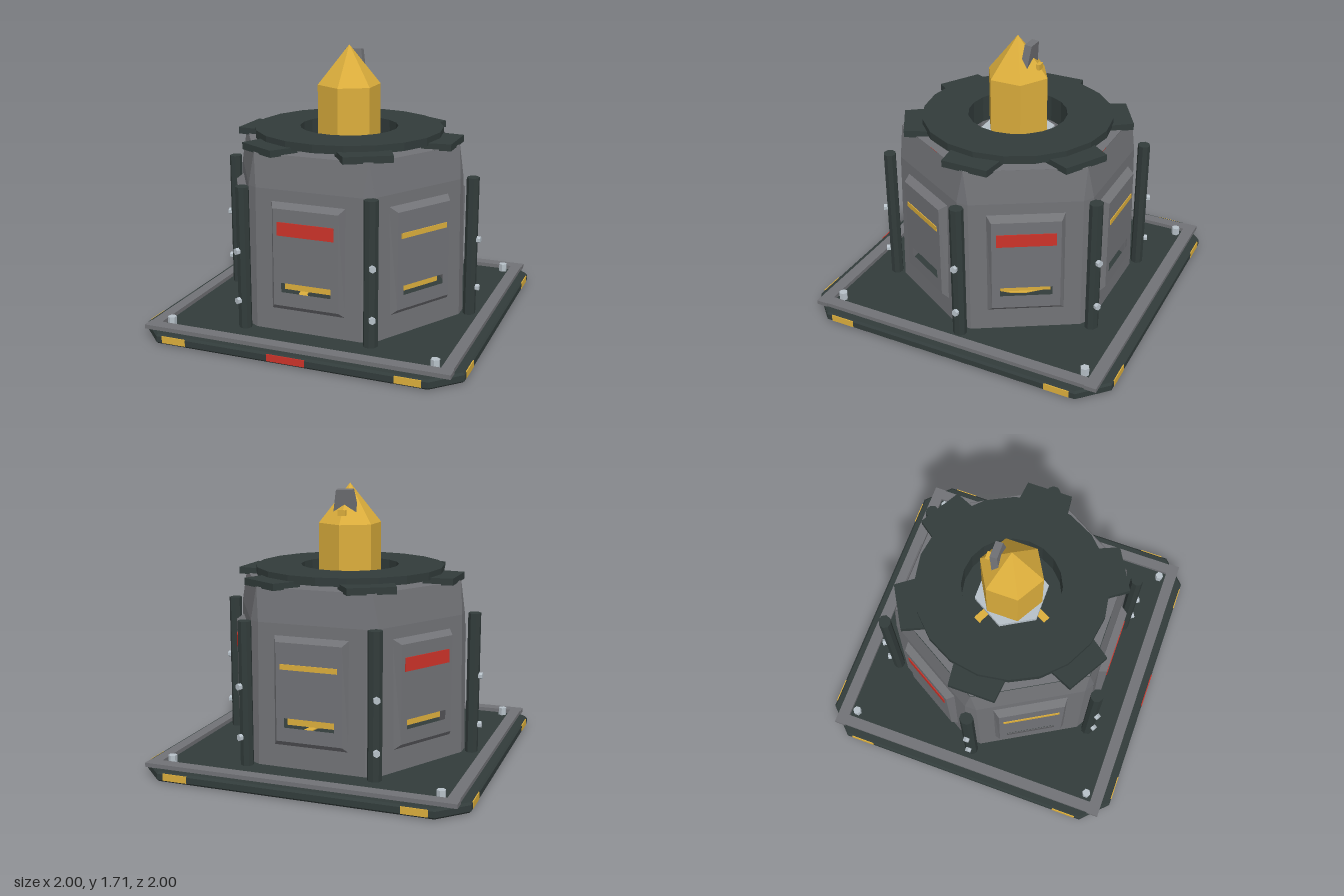
import * as THREE from 'three';

const mat = (name, color, flat = true) => {
  const m = new THREE.MeshStandardMaterial({ color, flatShading: flat, side: THREE.DoubleSide });
  m.name = name;
  return m;
};

export function createModel() {
  const dark = mat('darkSteel', 0x323c3b), grey = mat('greyMetal', 0x717276), gold = mat('gold', 0xdcae3c),
    red = mat('red', 0xcc3329), light = mat('lightMetal', 0xb6c0c8);
  const model = new THREE.Group();

  const add = (parent, name, geo, material, x = 0, y = 0, z = 0) => {
    const m = new THREE.Mesh(geo, material);
    m.name = name;
    m.position.set(x, y, z);
    parent.add(m);
    return m;
  };
  const box = (w, h, d) => new THREE.BoxGeometry(w, h, d);
  const shape = pts => new THREE.Shape(pts.map(p => new THREE.Vector2(...p)));
  const rect = (w, y0, y1) => [[-w, y0], [w, y0], [w, y1], [-w, y1]];
  // flat sheet in x,y whose z follows a depth rule
  const sheet = (pts, hole, depth) => {
    const s = shape(pts);
    if (hole) s.holes.push(shape(hole));
    const g = new THREE.ShapeGeometry(s), p = g.attributes.position;
    for (let i = 0; i < p.count; i++) p.setZ(i, depth(p.getY(i)));
    g.computeVertexNormals();
    return g;
  };
  // strip of quads between two rows of points
  const strip = (a, b) => {
    const v = [];
    for (let i = 0; i < a.length - 1; i++) v.push(...a[i], ...b[i], ...b[i + 1], ...a[i], ...b[i + 1], ...a[i + 1]);
    const g = new THREE.BufferGeometry();
    g.setAttribute('position', new THREE.Float32BufferAttribute(v, 3));
    g.computeVertexNormals();
    return g;
  };
  // ring with a rectangular section
  const ring = (r0, r1, y0, y1, n) => new THREE.LatheGeometry(
    [[r0, y0], [r1, y0], [r1, y1], [r0, y1], [r0, y0]].map(p => new THREE.Vector2(...p)), n);

  // base slab with cut corners
  const c = 0.84;
  const slab = new THREE.ExtrudeGeometry(
    shape([[-c, -1], [c, -1], [1, -c], [1, c], [c, 1], [-c, 1], [-1, c], [-1, -c]]),
    { depth: 0.036, bevelSize: 0.012, bevelThickness: 0.012, bevelOffset: -0.012, bevelSegments: 1 });
  slab.rotateX(-Math.PI / 2);
  add(model, 'baseSlab', slab, dark, 0, 0.017, 0);

  // rails, corner bolts and edge markers
  for (const s of [-1, 1]) {
    add(model, 'railAcross', box(1.9, 0.026, 0.075), grey, 0, 0.077, s * 0.91);
    add(model, 'railAlong', box(0.07, 0.026, 1.8), grey, s * 0.91, 0.077, 0);
    for (const t of [-1, 1]) {
      add(model, 'cornerBolt', new THREE.CylinderGeometry(0.027, 0.027, 0.055, 6), light, s * 0.83, 0.088, t * 0.83);
      add(model, 'edgeMarker', box(0.155, 0.042, 0.006), gold, s * 0.725, 0.037, t * 0.999);
      add(model, 'edgeMarker', box(0.006, 0.042, 0.155), gold, t * 0.999, 0.037, s * 0.725);
      add(model, 'undersideStud', new THREE.CylinderGeometry(0.03, 0.03, 0.006, 12), grey, s * 0.58, 0.003, t * 0.58);
    }
  }
  add(model, 'frontMarker', box(0.235, 0.042, 0.006), red, 0, 0.037, 0.999);
  add(model, 'undersideRing', ring(0.27, 0.345, 0, 0.008, 20), gold);
  add(model, 'undersideDisc', new THREE.CylinderGeometry(0.13, 0.13, 0.008, 16), light, 0, 0.004, 0);
  add(model, 'floorRing', ring(0.275, 0.33, 0.06, 0.072, 20), gold);

  // hollow body with six sides; each has a wall, a chamfered corner, a hatch and a post
  const low = 0.065, mid = 0.93, top = 1.13;
  const apothem = y => y <= mid ? 0.672 - (y - low) * 0.022 : 0.653 - (y - mid) * 0.165;
  const half = y => y <= mid ? 0.335 : 0.335 + (y - mid) * 0.11;
  for (let i = 0; i < 6; i++) {
    const side = new THREE.Group();
    side.name = 'bodySide';
    side.rotation.y = i * Math.PI / 3;
    model.add(side);

    const wall = (y0, y1, hole) => sheet(
      [[-half(y0), y0], [half(y0), y0], [half(y1), y1], [-half(y1), y1]], hole, apothem);
    add(side, 'wallLower', wall(low, mid, rect(0.22, 0.22, 0.84)), grey);
    add(side, 'wallUpper', wall(mid, top), grey);
    const edge = [low, mid, top].map(y => new THREE.Vector3(half(y), y, apothem(y)));
    const next = edge.map(p => new THREE.Vector3(-p.x, p.y, p.z).applyAxisAngle(new THREE.Vector3(0, 1, 0), Math.PI / 3));
    add(side, 'cornerChamfer', strip(edge.map(p => p.toArray()), next.map(p => p.toArray())), grey);

    // raised hatch with an open slot
    const front = 0.702;
    const outer = rect(0.232, 0.2, 0.86), inner = rect(0.205, 0.235, 0.83);
    const loop = (pts, z) => [...pts, pts[0]].map(([x, y]) => [x, y, z ?? apothem(y) - 0.002]);
    add(side, 'hatchFace', sheet(inner, rect(0.157, 0.32, 0.378), () => front), grey);
    add(side, 'hatchBevel', strip(loop(outer), loop(inner, front)), grey);
    const isRed = i % 2 === 0;
    add(side, 'hatchStripe', box(0.355, isRed ? 0.082 : 0.032, 0.006), isRed ? red : gold,
      0, isRed ? 0.71 : 0.686, front + 0.002);
    add(side, 'slotBar', box(0.3, 0.046, 0.012), gold, 0, 0.35, front - 0.045);

    // corner post, bolts and top lug
    const corner = new THREE.Group();
    corner.name = 'cornerPost';
    corner.rotation.y = Math.PI / 6;
    side.add(corner);
    const post = new THREE.CylinderGeometry(0.046, 0.046, 0.875, 8);
    post.rotateY(Math.PI / 8);
    post.scale(0.95, 1, 0.85);
    add(corner, 'post', post, dark, 0, 0.5025, 0.803);
    for (const y of [0.24, 0.55]) {
      const bolt = new THREE.CylinderGeometry(0.021, 0.021, 0.04, 6);
      bolt.rotateX(Math.PI / 2);
      add(corner, 'postBolt', bolt, light, 0, y, 0.842);
    }
    const lug = new THREE.ExtrudeGeometry(shape([[-0.165, -0.52], [-0.145, -0.7], [0.145, -0.7], [0.165, -0.52]]),
      { depth: 0.042, bevelEnabled: false });
    lug.rotateX(-Math.PI / 2);
    add(corner, 'topLug', lug, dark, 0, 1.122, 0);
  }

  // roof, top ring and its inner collar
  const roof = new THREE.RingGeometry(0.5, 0.712, 6, 1);
  roof.rotateX(-Math.PI / 2);
  add(model, 'roof', roof, grey, 0, 1.129, 0);
  add(model, 'topRing', ring(0.307, 0.59, 1.15, 1.2, 20), dark);
  add(model, 'collar', new THREE.CylinderGeometry(0.309, 0.309, 0.16, 20, 1, true), dark, 0, 1.11, 0);

  // pointed hexagonal core on its seat
  const seat = new THREE.CylinderGeometry(0.23, 0.23, 0.03, 6);
  seat.rotateY(Math.PI / 6);
  add(model, 'coreSeat', seat, light, 0, 1.085, 0);
  add(model, 'coreShaft', new THREE.CylinderGeometry(0.197, 0.197, 0.36, 6), gold, 0, 1.28, 0);
  add(model, 'coreTip', new THREE.ConeGeometry(0.197, 0.245, 6), gold, 0, 1.5825, 0);
  const clip = box(0.15, 0.14, 0.045), cp = clip.attributes.position;
  for (let k = 0; k < cp.count; k++) if (cp.getY(k) > 0) cp.setX(k, cp.getX(k) * 0.68);
  add(model, 'tipClip', clip, grey, 0, 1.6, -0.083).rotation.x = -0.13;
  add(model, 'tipNub', box(0.05, 0.035, 0.025), gold, 0, 1.53, -0.143);
  return model;
}
